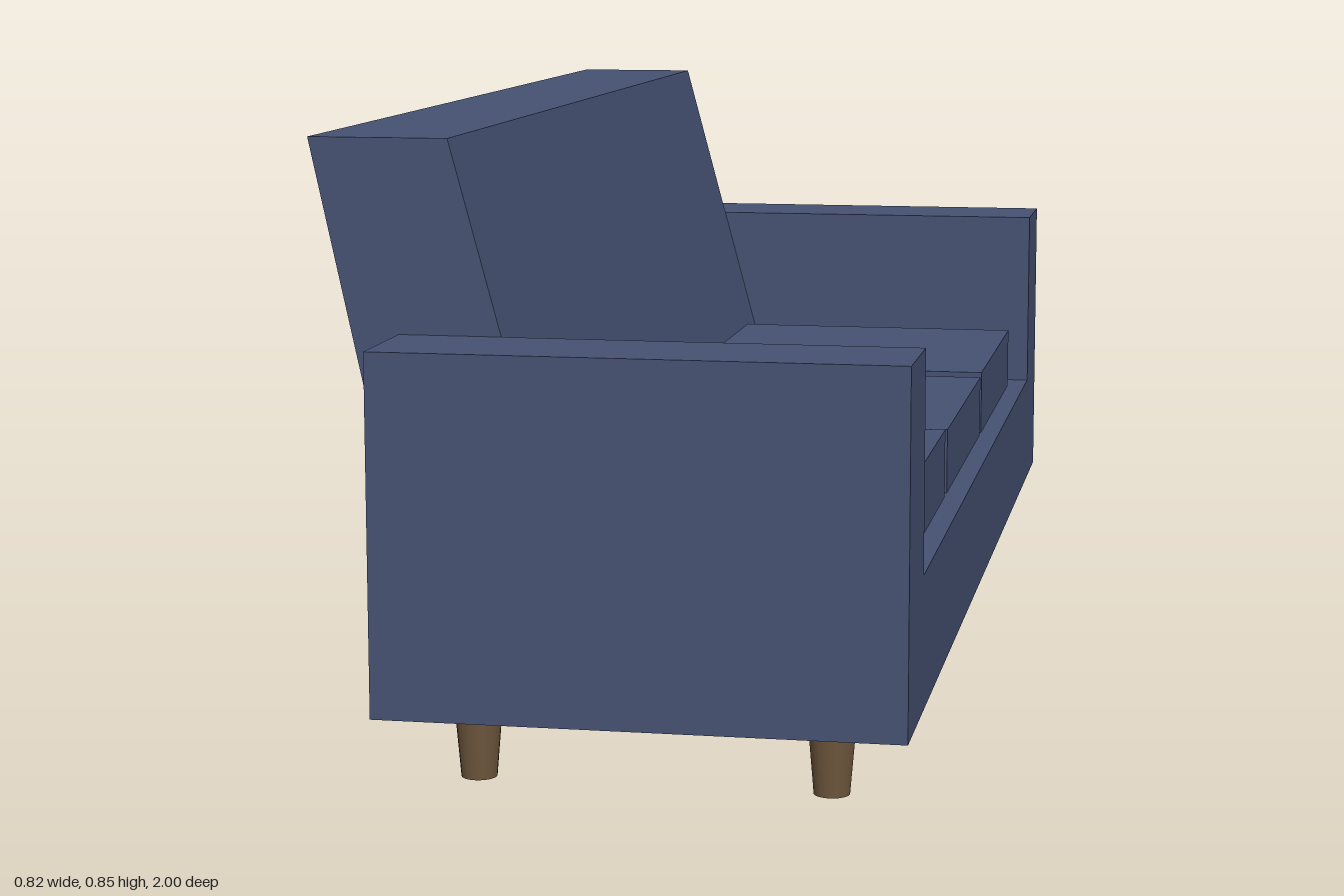
import * as THREE from 'three';

const fabric = new THREE.MeshStandardMaterial({ color: 0x465273 });
const wood = new THREE.MeshStandardMaterial({ color: 0x6e573d });

// Flat outline pushed out along +z
function extrude(points, depth) {
  const shape = new THREE.Shape(points.map(([x, y]) => new THREE.Vector2(x, y)));
  return new THREE.ExtrudeGeometry(shape, { depth, bevelEnabled: false });
}

export function createModel() {
  const sofa = new THREE.Group();
  sofa.name = 'sofa';

  const add = (name, geometry, material, x = 0, y = 0, z = 0) => {
    const mesh = new THREE.Mesh(geometry, material);
    mesh.name = name;
    mesh.position.set(x, y, z);
    sofa.add(mesh);
  };

  // Base and both arms: one U-shaped section running from back to front (+x)
  const frame = extrude([
    [-1, 0.107], [1, 0.107], [1, 0.588], [0.828, 0.588],
    [0.828, 0.29], [-0.84, 0.29], [-0.84, 0.588], [-1, 0.588],
  ], 0.7);
  frame.rotateY(Math.PI / 2);
  add('baseAndArms', frame, fabric, -0.29);

  // Leaning backrest, tapered in side profile, set between the arms
  const back = extrude([[-0.29, 0.29], [-0.07, 0.29], [-0.22, 0.848], [-0.41, 0.848]], 1.668);
  add('backrest', back, fabric, 0, 0, -0.828);

  // Three loose seat cushions; the middle one is slightly lower
  [[-0.508, 0.1], [0.022, 0.095], [0.561, 0.1]].forEach(([z, height]) => {
    add('seatCushion', new THREE.BoxGeometry(0.48, height, 0.51), fabric, 0.14, 0.29 + height / 2, z);
  });

  // Four tapered round legs
  const leg = new THREE.CylinderGeometry(0.033, 0.024, 0.107, 24);
  for (const x of [-0.18, 0.295]) {
    for (const z of [-0.904, 0.866]) add('leg', leg, wood, x, 0.0535, z);
  }

  return sofa;
}
